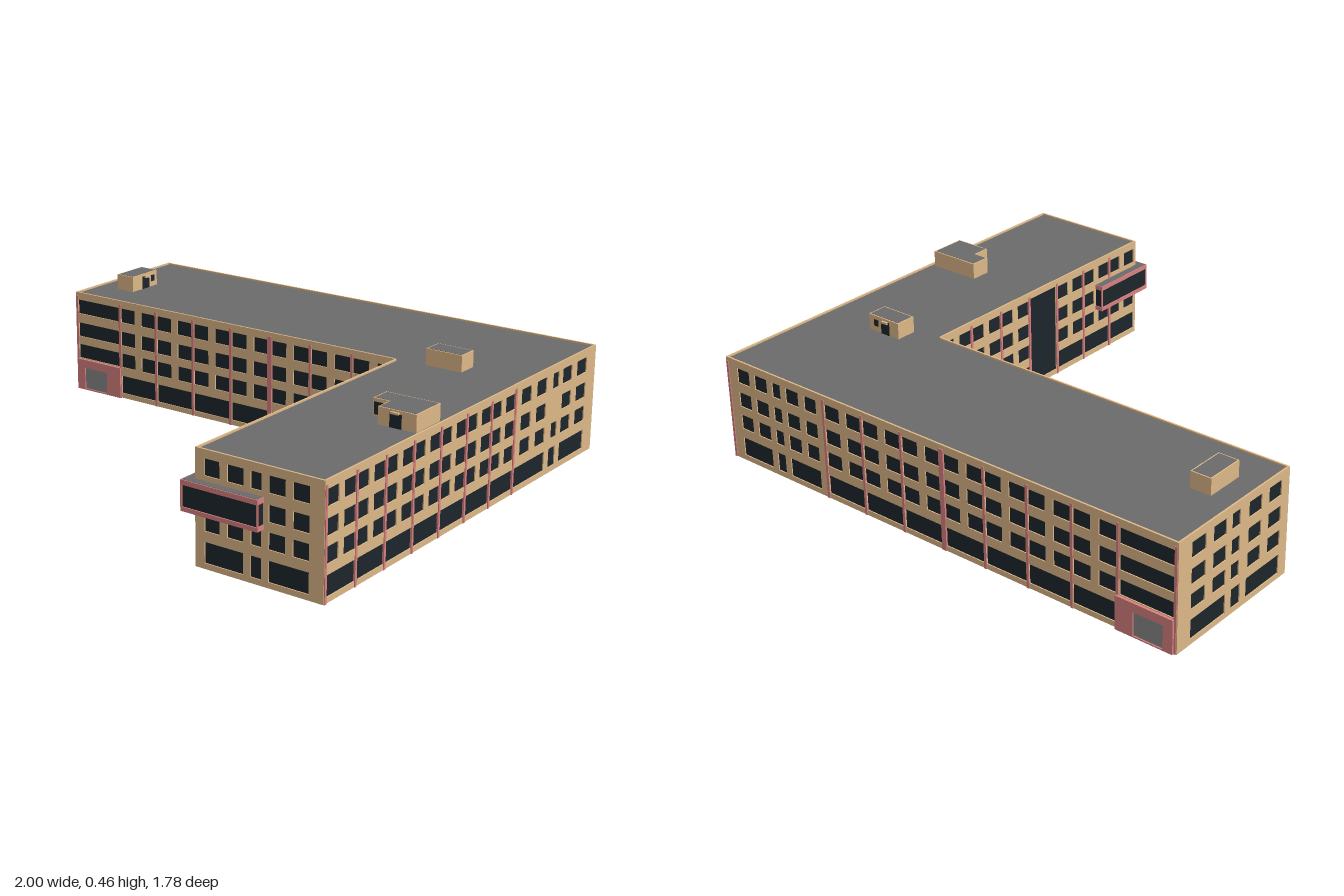
import * as THREE from 'three';

const mat = (color, extra = {}) => new THREE.MeshStandardMaterial({ color, ...extra });
const TAN = mat(0xdeb887), PINK = mat(0xd98080), GLASS = mat(0x1c262b);
const ROOF = mat(0x6b6b6b), DOOR = mat(0x888888);

const H = 0.4, T = 0.007; // wall height and thickness
const X0 = -0.998, X1 = 0.998, XI = 0.51, Z0 = -0.88, ZI = -0.29, Z1 = 0.857;
const ROWS = [[0.128, 0.185], [0.218, 0.275], [0.313, 0.37]]; // upper window rows
const GROUND = [0.02, 0.092];

function box(parent, name, material, x0, x1, y0, y1, z0, z1) {
  const m = new THREE.Mesh(new THREE.BoxGeometry(x1 - x0, y1 - y0, z1 - z0), material);
  m.position.set((x0 + x1) / 2, (y0 + y1) / 2, (z0 + z1) / 2);
  m.name = name;
  parent.add(m);
  return m;
}

function rectPath(P, a, b, y0, y1) {
  const p = new P();
  p.moveTo(a, y0);
  p.lineTo(b, y0);
  p.lineTo(b, y1);
  p.lineTo(a, y1);
  p.closePath();
  return p;
}

// Upright panel with rectangular holes [a, b, y0, y1]
function panel(parent, name, material, a, b, h, holes, z, depth) {
  const s = rectPath(THREE.Shape, a, b, 0, h);
  for (const o of holes) s.holes.push(rectPath(THREE.Path, ...o));
  const m = new THREE.Mesh(new THREE.ExtrudeGeometry(s, { depth, bevelEnabled: false }), material);
  m.position.z = z;
  m.name = name;
  parent.add(m);
}

// L-shaped slab following the building's outline
function slab(parent, name, material, inset, y0, y1) {
  const i = inset;
  const pts = [[X0 + i, ZI - i], [XI + i, ZI - i], [XI + i, Z1 - i], [X1 - i, Z1 - i], [X1 - i, Z0 + i], [X0 + i, Z0 + i]];
  const s = new THREE.Shape(pts.map(([x, z]) => new THREE.Vector2(x, -z)));
  const g = new THREE.ExtrudeGeometry(s, { depth: y1 - y0, bevelEnabled: false });
  g.rotateX(-Math.PI / 2);
  const m = new THREE.Mesh(g, material);
  m.position.y = y0;
  m.name = name;
  parent.add(m);
}

// Regular bays: a pair of windows upstairs, one wide window on the ground
function bays(start, step, count, skip = -1) {
  const out = [];
  for (let i = 0; i < count; i++) {
    const c = start + i * step, at = f => c + f * step;
    if (i === skip) {
      out.push([at(0.04), at(0.96), 0.02, 0.375]); // full-height stair glazing
      continue;
    }
    out.push([at(0.03), at(0.97), ...GROUND]);
    for (const r of ROWS) out.push([at(0.03), at(0.41), ...r], [at(0.59), at(0.97), ...r]);
  }
  return out;
}

// Irregular end section: the middle column is narrow
function endSection(cols, ground, gapRow = -1) {
  const out = ground.map(g => [...g, ...GROUND]);
  ROWS.forEach((r, j) => cols.forEach((c, i) => {
    if (!(i === 2 && j === gapRow)) out.push([...c, ...r]);
  }));
  return out;
}

// A facade is built facing +z and turned; sign maps world coordinates to its own
function facade(parent, name, angle, sign, dist, from, to, holes, posts) {
  const g = new THREE.Group();
  g.name = name;
  g.rotation.y = angle;
  const span = (a, b) => (sign > 0 ? [a, b] : [-b, -a]);
  const local = holes.map(([a, b, y0, y1]) => {
    const [lo, hi] = [Math.min(a, b), Math.max(a, b)];
    return [...span(lo, hi), y0, y1];
  });
  panel(g, 'wall', TAN, ...span(from, to), H, local, dist - T, T);
  for (const [c, w] of posts) {
    box(g, 'pilaster', PINK, ...span(c - w / 2, c + w / 2), 0, 0.385, dist - 0.004, dist + 0.003);
  }
  parent.add(g);
  return { g, span };
}

// Pink entrance surround with a grey door
function portal({ g, span }, dist) {
  const door = span(-0.95, -0.835);
  panel(g, 'entranceSurround', PINK, ...span(-0.988, -0.765), 0.125, [[...door, 0.005, 0.092]], dist - 0.002, 0.012);
  box(g, 'entranceDoor', DOOR, ...door, 0.002, 0.095, dist - 0.002, dist + 0.005);
}

function penthouse(parent, x0, x1, z0, z1) {
  box(parent, 'penthouseWalls', TAN, x0, x1, 0.38, 0.455, z0, z1);
  box(parent, 'penthouseRoof', ROOF, x0 + 0.005, x1 - 0.005, 0.45, 0.456, z0 + 0.005, z1 - 0.005);
}

export function createModel() {
  const model = new THREE.Group();
  model.name = 'officeBuilding';

  // Core, seen as glass through the wall openings, with base and roof
  slab(model, 'glazing', GLASS, 0.004, 0.01, 0.38);
  slab(model, 'base', ROOF, 0.001, 0, 0.008);
  slab(model, 'roof', ROOF, 0.005, 0.38, 0.394);

  // Facades
  const sx = 0.1826, bx = -0.768, sz = 0.1627, bz = ZI;
  const postsX = Array.from({ length: 7 }, (_, i) => [bx + i * sx, i === 4 ? 0.02 : 0.01]);
  const postsZ = Array.from({ length: 7 }, (_, i) => [bz + i * sz, 0.01]);
  const wide = ROWS.map(r => [-0.985, -0.776, ...r]);
  const longHoles = [...wide, ...bays(bx, sx, 7)];
  const endX = endSection(
    [[0.547, 0.605], [0.635, 0.697], [0.725, 0.765], [0.793, 0.855], [0.883, 0.943]],
    [[0.547, 0.697], [0.725, 0.765], [0.793, 0.943]]);
  const colsZ = [[-0.402, -0.333], [-0.512, -0.443], [-0.602, -0.56], [-0.70, -0.633], [-0.812, -0.74]];
  const groundZ = [[-0.517, -0.3], [-0.598, -0.55], [-0.812, -0.63]];
  const corner = [-0.99, 0.01];

  const front = facade(model, 'longWingFront', 0, 1, ZI, X0, XI, longHoles, [...postsX, corner]);
  portal(front, ZI);
  const back = facade(model, 'longWingBack', Math.PI, -1, -Z0, X0, X1, [...longHoles, ...endX],
    [...postsX, corner, [XI, 0.01], [0.99, 0.01]]);
  portal(back, -Z0);
  facade(model, 'shortWingEnd', 0, 1, Z1, XI, X1, endX, []);
  facade(model, 'shortWingOuterSide', Math.PI / 2, -1, X1, Z0, Z1,
    [...bays(bz, sz, 7), ...endSection(colsZ, groundZ, 1)], [...postsZ, [0.85, 0.01]]);
  facade(model, 'shortWingInnerSide', -Math.PI / 2, 1, -XI, ZI, Z1, bays(bz, sz, 7, 3), postsZ.slice(1));
  facade(model, 'longWingEnd', -Math.PI / 2, 1, -X0, Z0, ZI, endSection(colsZ, [[-0.517, -0.333], ...groundZ.slice(1)]), []);

  // Glazed bay wrapped around the corner of the short wing
  const bay = new THREE.Group();
  bay.name = 'cornerBay';
  const legs = (name, m, y0, y1, i) => {
    box(bay, name, m, 0.477 + i, 0.775 - i, y0, y1, Z1 - 0.004, 0.89 - i);
    box(bay, name, m, 0.477 + i, XI + 0.004, y0, y1, 0.6 + i, Z1 - 0.004);
  };
  legs('bayFloor', PINK, 0.19, 0.205, 0);
  legs('bayGlass', GLASS, 0.205, 0.278, 0.004);
  legs('bayTop', PINK, 0.278, 0.295, 0);
  legs('bayRoof', ROOF, 0.29, 0.296, 0.004);
  for (const [x, z] of [[0.477, 0.884], [0.769, 0.884], [0.477, 0.6]]) {
    box(bay, 'bayPost', PINK, x, x + 0.006, 0.2, 0.28, z, z + 0.006);
  }
  model.add(bay);

  // Rooftop stair houses
  const tops = new THREE.Group();
  tops.name = 'rooftopStairHouses';
  penthouse(tops, -0.905, -0.825, -0.59, -0.44);
  box(tops, 'door', GLASS, -0.83, -0.823, 0.394, 0.445, -0.54, -0.5);
  box(tops, 'window', GLASS, -0.83, -0.823, 0.415, 0.44, -0.572, -0.552);
  box(tops, 'lamp', TAN, -0.825, -0.815, 0.438, 0.446, -0.54, -0.51);
  penthouse(tops, 0.625, 0.77, -0.39, -0.31);
  box(tops, 'door', GLASS, 0.67, 0.71, 0.394, 0.445, -0.392, -0.385);
  box(tops, 'window', GLASS, 0.725, 0.745, 0.415, 0.44, -0.392, -0.385);
  box(tops, 'lamp', TAN, 0.675, 0.705, 0.438, 0.446, -0.398, -0.39);
  penthouse(tops, 0.775, 0.98, 0.18, 0.26);
  penthouse(tops, 0.835, 0.98, 0.25, 0.325);
  box(tops, 'door', GLASS, 0.88, 0.925, 0.394, 0.443, 0.32, 0.327);
  box(tops, 'window', GLASS, 0.78, 0.825, 0.4, 0.443, 0.255, 0.262);
  box(tops, 'lamp', TAN, 0.887, 0.917, 0.442, 0.449, 0.325, 0.335);
  model.add(tops);

  return model;
}
